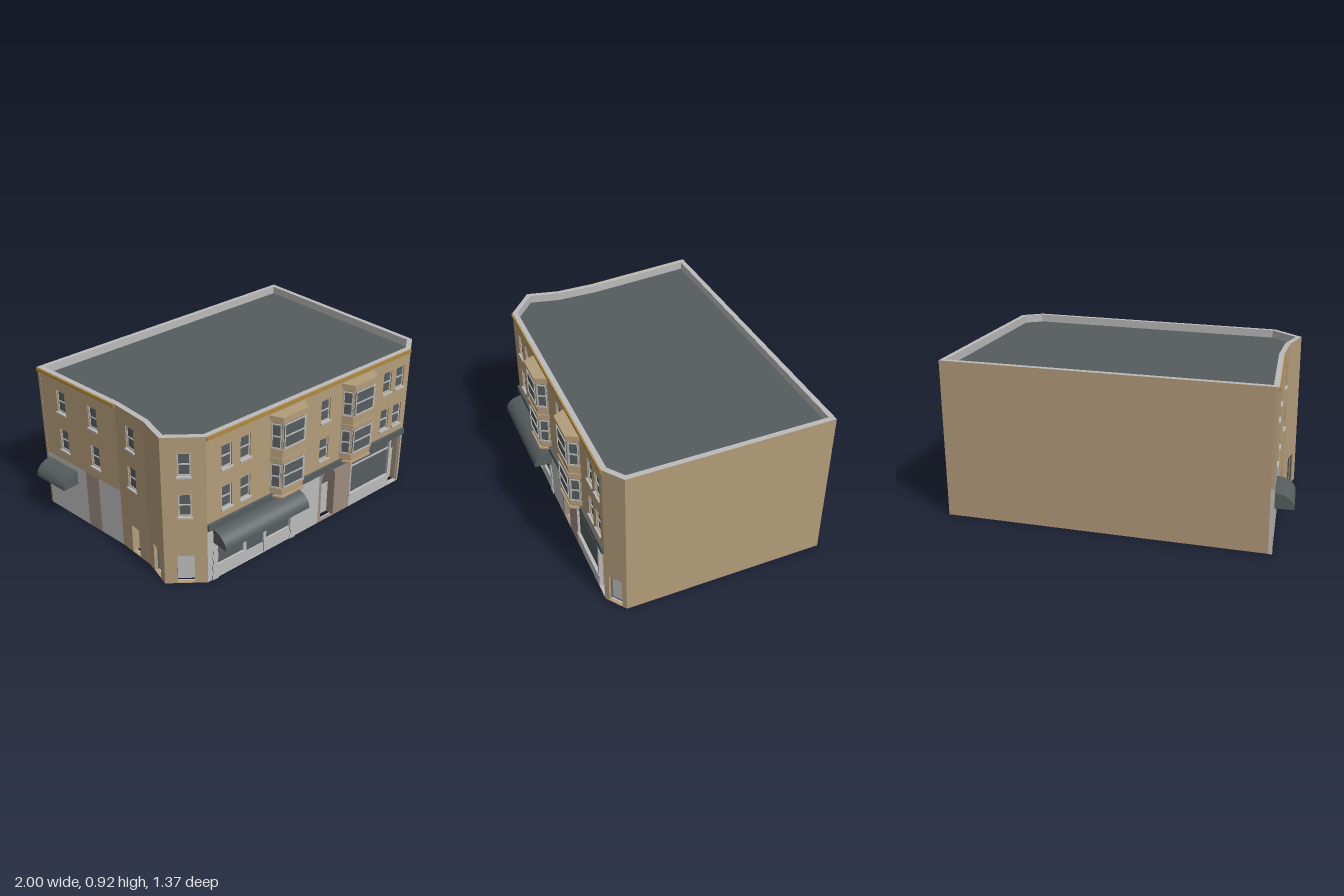
import * as THREE from 'three';

const paint = (name, color, side = THREE.FrontSide) => {
  const m = new THREE.MeshStandardMaterial({ color, side });
  m.name = name;
  return m;
};

export function createModel() {
  const tan = paint('tan render', 0xb39c7a);
  const light = paint('light grey', 0xbababa, THREE.DoubleSide);
  const dark = paint('slate grey', 0x565c5e, THREE.DoubleSide);
  const gold = paint('ochre', 0xae8840);
  const mauve = paint('mauve brown', 0x9d8b7f);

  const H = 0.92, T = 0.02, INNER = 0.03, ROOF = 0.875;
  const model = new THREE.Group();
  model.name = 'cornerBuilding';

  const add = (parent, name, geo, mat) => {
    const m = new THREE.Mesh(geo, mat);
    m.name = name;
    parent.add(m);
    return m;
  };
  // Box given by its limits in the local frame of a wall
  const box = (g, name, mat, x0, x1, y0, y1, z0, z1) =>
    add(g, name, new THREE.BoxGeometry(x1 - x0, y1 - y0, z1 - z0), mat)
      .position.set((x0 + x1) / 2, (y0 + y1) / 2, (z0 + z1) / 2);
  const rect = (x0, x1, y0, y1, Type = THREE.Path) => new Type([[x0, y0], [x1, y0], [x1, y1], [x0, y1]]
    .map(p => new THREE.Vector2(...p)));
  // Group whose x runs along a wall from a to b, with z facing out
  const frame = (parent, name, a, b) => {
    const g = new THREE.Group();
    g.name = name;
    g.position.set(a[0], 0, a[1]);
    g.rotation.y = -Math.atan2(b[1] - a[1], b[0] - a[0]);
    g.userData.length = Math.hypot(b[0] - a[0], b[1] - a[1]);
    parent.add(g);
    return g;
  };

  // Footprint, and the same outline moved inwards
  const foot = [[-0.9, -0.65], [-0.82, 0], [-0.815, 0.246], [-0.853, 0.433], [-0.67, 0.578],
    [0.89, 0.578], [1, 0.497], [0.97, -0.69]];
  const names = ['leftWall', 'leftMiddleWall', 'leftFrontWall', 'leftCornerWall', 'frontWall',
    'rightCornerWall', 'rightWall', 'backWall'];
  const N = foot.length;
  const normal = i => {
    const a = foot[(i + N) % N], b = foot[(i + 1) % N];
    return new THREE.Vector2(a[1] - b[1], b[0] - a[0]).normalize();
  };
  const inner = foot.map((p, i) => {
    const n1 = normal(i - 1), n2 = normal(i), k = INNER / (1 + n1.dot(n2));
    return [p[0] - (n1.x + n2.x) * k, p[1] - (n1.y + n2.y) * k];
  });

  const walls = names.map((n, i) => frame(model, n, foot[i], foot[(i + 1) % N]));
  const openings = names.map(() => []);
  const cuts = names.map(() => []);

  // Sash window: pane, frame bars, meeting rail and sill
  const sash = (g, cx, y0, w, h, z, sill = true) => {
    const x0 = cx - w / 2, x1 = cx + w / 2, b = 0.007, y1 = y0 + h;
    box(g, 'windowPane', dark, x0, x1, y0, y1, z - 0.004, z);
    for (const x of [x0, x1 - b]) box(g, 'windowStile', light, x, x + b, y0, y1, z, z + 0.005);
    for (const y of [y0, y0 + h / 2 - b / 2, y1 - b])
      box(g, 'windowRail', light, x0 + b, x1 - b, y, y + b, z, z + 0.005);
    if (sill) box(g, 'windowSill', light, x0 - 0.006, x1 + 0.006, y0 - 0.01, y0, -0.015, 0.01);
  };
  const wallWindows = (i, centres) => {
    for (const cx of centres) for (const y0 of [0.44, 0.69]) {
      sash(walls[i], cx, y0, 0.07, 0.138, -0.012);
      openings[i].push({ x: cx, y: y0 + 0.07, path: rect(cx - 0.035, cx + 0.035, y0, y0 + 0.138) });
    }
  };
  // Recessed doorway with a door and, if wanted, a glazed top
  const doorway = (i, x0, x1, y1, depth, reveal, glassFrom = y1, path = rect(x0, x1, 0.003, y1)) => {
    const g = walls[i], t = 0.004;
    openings[i].push({ x: (x0 + x1) / 2, y: y1 / 2, path });
    cuts[i].push(rect(x0, x1, 0.003, y1));
    box(g, 'doorReveal', reveal, x0 - t, x0, 0.001, y1, -depth, -0.004);
    box(g, 'doorReveal', reveal, x1, x1 + t, 0.001, y1, -depth, -0.004);
    box(g, 'doorHead', reveal, x0, x1, y1, y1 + t, -depth, -0.004);
    box(g, 'door', light, x0, x1, 0.003, glassFrom, -depth, -depth + 0.006);
    if (glassFrom < y1) {
      box(g, 'transomLight', dark, x0, x1, glassFrom, y1, -depth, -depth + 0.004);
      box(g, 'transomRail', light, x0, x1, glassFrom, glassFrom + 0.008, -depth, -depth + 0.009);
    }
  };
  const awning = (g, x0, x1) => {
    const s = new THREE.Shape();
    s.moveTo(0, 0.25).lineTo(0.105, 0.25);
    s.absellipse(0, 0.255, 0.105, 0.08, 0, Math.PI / 2, false);
    const m = add(g, 'awning', new THREE.ExtrudeGeometry(s,
      { depth: x1 - x0, bevelEnabled: false, curveSegments: 12 }), dark);
    m.rotation.y = -Math.PI / 2;
    m.position.x = x1;
  };

  // Side street and corners
  wallWindows(0, [0.19, 0.46]);
  wallWindows(1, [0.12]);
  wallWindows(3, [0.12]);
  doorway(1, 0.09, 0.16, 0.185, 0.05, tan);
  doorway(2, 0.06, 0.14, 0.185, 0.045, dark);
  doorway(3, 0.07, 0.163, 0.185, 0.045, dark);
  doorway(5, 0.025, 0.108, 0.19, 0.04, dark);
  awning(walls[0], 0.03, 0.28);

  // Front: upper windows and two doorways (local x = x + 0.67)
  const F = walls[4], L = F.userData.length;
  wallWindows(4, [0.135, 0.265, 0.86, 1.375, 1.485]);
  const arch = new THREE.Path();
  arch.moveTo(0.86, 0.003).lineTo(0.97, 0.003).lineTo(0.97, 0.285);
  arch.absarc(0.915, 0.285, 0.055, 0, Math.PI, false);
  doorway(4, 0.86, 0.97, 0.342, 0.06, mauve, 0.205, arch);
  doorway(4, 1.465, 1.55, 0.344, 0.06, tan, 0.21);

  // Arched shopfront with a centre door
  const shop = new THREE.Path();
  shop.moveTo(0.07, 0.085).lineTo(0.28, 0.085).lineTo(0.28, 0.003).lineTo(0.41, 0.003)
    .lineTo(0.41, 0.085).lineTo(0.61, 0.085).lineTo(0.61, 0.19);
  shop.absellipse(0.34, 0.19, 0.27, 0.09, 0, Math.PI, false);
  openings[4].push({ x: 0.34, y: 0.15, path: shop });
  box(F, 'shopGlass', dark, 0.06, 0.62, 0.003, 0.29, -0.018, -0.014);
  box(F, 'shopDoorPanel', light, 0.28, 0.41, 0.003, 0.065, -0.014, -0.008);
  for (const x of [0.26, 0.41]) box(F, 'shopMullion', light, x, x + 0.02, 0.085, 0.275, -0.014, -0.004);
  box(F, 'shopTransom', light, 0.1, 0.58, 0.247, 0.253, -0.014, -0.008);
  for (const x of [0.05, 0.628]) for (let k = 0; k < 6; k++) {
    const w = k % 2 ? 0.013 : 0.021;
    box(F, 'quoin', light, x - w, x + w, k * 0.034, k * 0.034 + 0.032, 0, 0.006);
  }
  awning(F, 0.04, 0.655);

  // Large shop window
  openings[4].push({ x: 1.28, y: 0.2, path: rect(1.115, 1.45, 0.09, 0.344) });
  box(F, 'displayGlass', dark, 1.11, 1.455, 0.085, 0.35, -0.018, -0.014);
  box(F, 'displayTransom', light, 1.115, 1.45, 0.276, 0.284, -0.014, -0.006);
  box(F, 'displaySill', light, 1.105, 1.46, 0.08, 0.09, -0.01, 0.005);

  // Fascia and cornices
  box(F, 'fascia', dark, 0, L, 0.345, 0.385, 0, 0.014);
  box(F, 'frontCornice', gold, 0, L, 0.898, 0.918, 0, 0.008);
  box(walls[0], 'sideCornice', gold, 0, walls[0].userData.length, 0.898, 0.918, 0, 0.008);

  // Bay windows: stacked trapezoid tiers with panes on three faces
  const tiers = [[0.355, 0.37, 0.09, 0.06, 0.04], [0.37, 0.38, 0.12, 0.082, 0.064],
    [0.38, 0.395, 0.108, 0.074, 0.052], [0.395, 0.86, 0.118, 0.082, 0.058],
    [0.422, 0.432, 0.124, 0.086, 0.064], [0.605, 0.625, 0.124, 0.086, 0.064],
    [0.67, 0.68, 0.124, 0.086, 0.064], [0.85, 0.868, 0.125, 0.087, 0.065],
    [0.868, 0.885, 0.132, 0.092, 0.07]];
  for (const cx of [0.56, 1.11]) {
    const bay = new THREE.Group();
    bay.name = 'bayWindow';
    bay.position.x = cx;
    F.add(bay);
    for (const [y0, y1, w0, w1, d] of tiers) {
      const s = new THREE.Shape([[-w0, -0.004], [w0, -0.004], [w1, d], [-w1, d]].map(p => new THREE.Vector2(...p)));
      const geo = new THREE.ExtrudeGeometry(s, { depth: y1 - y0, bevelEnabled: false });
      add(bay, 'bayTier', geo.rotateX(Math.PI / 2).translate(0, y1, 0), tan);
    }
    const pts = [[-0.118, 0], [-0.082, 0.058], [0.082, 0.058], [0.118, 0]];
    for (let k = 0; k < 3; k++) {
      const f = frame(bay, 'bayFace', pts[k], pts[k + 1]), len = f.userData.length;
      for (const y0 of [0.435, 0.685])
        sash(f, len / 2, y0, len - 0.012, 0.152, 0.003, false);
    }
  }

  // Wall faces: [x0, x1, y0, y1, material]
  const lens = walls.map(w => w.userData.length);
  const panels = lens.map(l => [[0, l, 0, H, tan]]);
  panels[0] = [[0, lens[0], 0.37, H, tan], [0, 0.36, 0, 0.37, light],
    [0.36, 0.47, 0, 0.37, mauve], [0.47, lens[0], 0, 0.37, light]];
  panels[4] = [[0, L, 0.365, H, tan], [0, 0.84, 0, 0.365, light], [0.84, 1.105, 0, 0.365, mauve],
    [1.105, 1.555, 0, 0.365, light], [1.555, L, 0, 0.365, tan]];
  walls.forEach((g, i) => {
    for (const [x0, x1, y0, y1, mat] of panels[i]) {
      const s = rect(x0, x1, y0, y1, THREE.Shape);
      s.holes = openings[i].filter(o => o.x > x0 && o.x < x1 && o.y > y0 && o.y < y1).map(o => o.path);
      add(g, 'wallFace', new THREE.ExtrudeGeometry(s,
        { depth: T, bevelEnabled: false, curveSegments: 14 }).translate(0, 0, -T), mat);
    }
    // Inside lining, up to the parapet top
    const n = normal(i), along = p => (p[0] - foot[i][0]) * n.y - (p[1] - foot[i][1]) * n.x;
    const s = rect(along(inner[i]), along(inner[(i + 1) % N]), 0, H, THREE.Shape);
    s.holes = cuts[i];
    add(g, 'innerLining', new THREE.ShapeGeometry(s), light).position.z = -INNER;
  });

  // Parapet coping, wall base and roof deck
  const outline = (pts, Type) => new Type(pts.map(p => new THREE.Vector2(p[0], -p[1])));
  const ring = outline(foot, THREE.Shape);
  ring.holes = [outline(inner, THREE.Path)];
  const flat = (name, shape, y, mat) =>
    add(model, name, new THREE.ShapeGeometry(shape).rotateX(-Math.PI / 2).translate(0, y, 0), mat);
  flat('parapetCoping', ring, H + 0.001, light);
  flat('wallBase', ring, 0.002, light);
  flat('roofDeck', outline(inner, THREE.Shape), ROOF, dark);

  return model;
}
